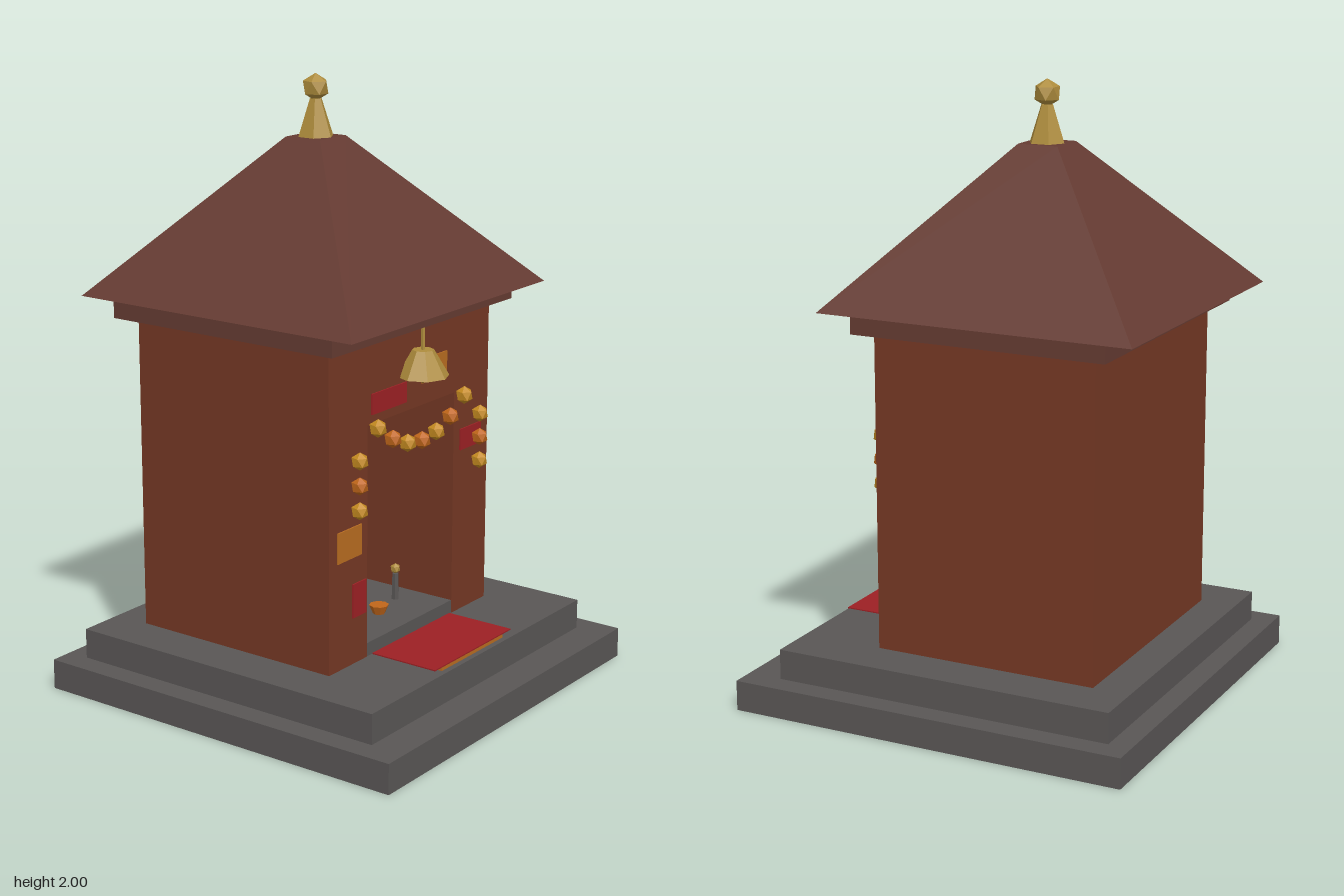
import * as THREE from 'three';

const mat = (name, color) => {
  const m = new THREE.MeshStandardMaterial({ color });
  m.name = name;
  m.flatShading = true;
  return m;
};

export function createModel() {
  const M = {
    stone: mat('stone', 0x595655),
    wall: mat('terracotta wall', 0x753824),
    roof: mat('roof brown', 0x653b32),
    dark: mat('niche dark', 0x2a2a10),
    brass: mat('brass', 0xae8c3c),
    yellow: mat('marigold yellow', 0xc48a20),
    orange: mat('marigold orange', 0xc0661a),
    red: mat('red cloth', 0x9c2024),
    saffron: mat('saffron paint', 0xb86c20),
  };
  const model = new THREE.Group();
  model.name = 'shrine';

  const add = (name, geo, material, x = 0, y = 0, z = 0, parent = model) => {
    const mesh = new THREE.Mesh(geo, material);
    mesh.name = name;
    mesh.position.set(x, y, z);
    parent.add(mesh);
    return mesh;
  };
  // Box given by its limits on each axis
  const box = (name, material, x0, x1, y0, y1, z0, z1, parent) =>
    add(name, new THREE.BoxGeometry(x1 - x0, y1 - y0, z1 - z0), material,
      (x0 + x1) / 2, (y0 + y1) / 2, (z0 + z1) / 2, parent);
  // Faceted drum or cone standing on y0
  const drum = (name, material, rTop, rBottom, y0, y1, sides, x, z, parent) =>
    add(name, new THREE.CylinderGeometry(rTop, rBottom, y1 - y0, sides), material,
      x, (y0 + y1) / 2, z, parent);
  // Icosahedron with a corner pointing straight up
  const bead = (name, material, r, x, y, z, parent) =>
    add(name, new THREE.IcosahedronGeometry(r, 0).rotateX(-1.0172), material, x, y, z, parent);

  const zc = -0.1; // centre of the building

  // Stepped plinth
  box('lowerStep', M.stone, -0.675, 0.675, 0, 0.1, -0.675, 0.675);
  box('upperStep', M.stone, -0.597, 0.597, 0.1, 0.2, -0.6, 0.557);

  // Walls with the door niche
  const outline = new THREE.Shape([
    [-0.44, 0.2], [-0.24, 0.2], [-0.24, 0.965], [0.24, 0.965],
    [0.24, 0.2], [0.44, 0.2], [0.44, 1.24], [-0.44, 1.24],
  ].map(([x, y]) => new THREE.Vector2(x, y)));
  add('frontWall', new THREE.ExtrudeGeometry(outline, { depth: 0.43, bevelEnabled: false }),
    M.wall, 0, 0, -0.15);
  box('backWall', M.wall, -0.44, 0.44, 0.2, 1.24, -0.476, -0.15);
  box('nicheBack', M.dark, -0.24, 0.24, 0.245, 0.965, -0.15, -0.143);
  box('nicheFloor', M.stone, -0.24, 0.24, 0.2, 0.245, -0.15, 0.279);

  // Roof
  box('eaves', M.roof, -0.495, 0.495, 1.24, 1.305, -0.531, 0.333);
  add('roof', new THREE.CylinderGeometry(0.068 * Math.SQRT2, 0.533 * Math.SQRT2, 0.495, 4)
    .rotateY(Math.PI / 4), M.roof, 0, 1.5525, zc);

  // Finial
  drum('finialCone', M.brass, 0.02, 0.06, 1.8, 1.92, 6, 0, zc);
  bead('finialBall', M.brass, 0.045, 0, 1.955, zc);

  // Hanging bell
  const bell = new THREE.Group();
  bell.name = 'bell';
  model.add(bell);
  drum('bellRod', M.brass, 0.007, 0.007, 1.16, 1.245, 6, 0, 0.32, bell);
  drum('bellBody', M.brass, 0.035, 0.085, 1.08, 1.165, 8, 0, 0.32, bell);
  bead('bellClapper', M.brass, 0.011, 0, 1.066, 0.32, bell);

  // Flower garlands: swag over the door and a string at each side
  const garland = new THREE.Group();
  garland.name = 'garland';
  model.add(garland);
  const swag = [0.868, 0.878, 0.91, 0.963];
  for (let i = -3; i <= 3; i++) {
    bead('swagFlower', i % 2 ? M.yellow : M.orange, 0.03, i * 0.08, swag[Math.abs(i)], 0.32, garland);
  }
  for (const side of [-1, 1]) {
    for (let i = 0; i < 3; i++) {
      bead('sideFlower', i === 1 ? M.orange : M.yellow, 0.029, side * 0.335, 0.88 - i * 0.08, 0.32, garland);
    }
  }

  // Painted patches on the front wall
  [
    [M.red, -0.222, -0.035, 0.995, 1.062],
    [M.saffron, 0.05, 0.19, 1.037, 1.117],
    [M.saffron, -0.4, -0.275, 0.556, 0.656],
    [M.red, -0.32, -0.25, 0.355, 0.467],
    [M.red, 0.275, 0.397, 0.76, 0.832],
  ].forEach(([m, x0, x1, y0, y1]) => box('wallPatch', m, x0, x1, y0, y1, 0.279, 0.285));

  // Stone idol with cloth and paint
  const idol = new THREE.Group();
  idol.name = 'idol';
  model.add(idol);
  box('idolBody', M.stone, -0.093, 0.093, 0.245, 0.625, -0.14, 0, idol);
  box('idolHead', M.stone, -0.07, 0.07, 0.625, 0.705, -0.13, -0.01, idol);
  box('idolCollar', M.saffron, -0.043, 0.043, 0.572, 0.624, 0, 0.006, idol);
  box('idolCloth', M.red, -0.06, 0.06, 0.412, 0.567, 0, 0.006, idol);
  box('idolSash', M.saffron, -0.032, 0.032, 0.37, 0.435, 0, 0.009, idol);

  // Offerings on the niche floor
  for (const x of [-0.157, 0]) {
    drum('offeringBowl', M.orange, 0.033, 0.02, 0.245, 0.275, 8, x, 0.155);
  }
  drum('lampStand', M.stone, 0.011, 0.013, 0.245, 0.335, 6, 0.142, 0.12);
  bead('lampFlame', M.brass, 0.018, 0.142, 0.352, 0.12);

  // Offering cloth laid over a low board on the step
  box('matBoard', M.saffron, -0.197, 0.155, 0.2, 0.213, 0.33, 0.538);
  box('matCloth', M.red, -0.238, 0.199, 0.213, 0.217, 0.3, 0.54);

  return model;
}
